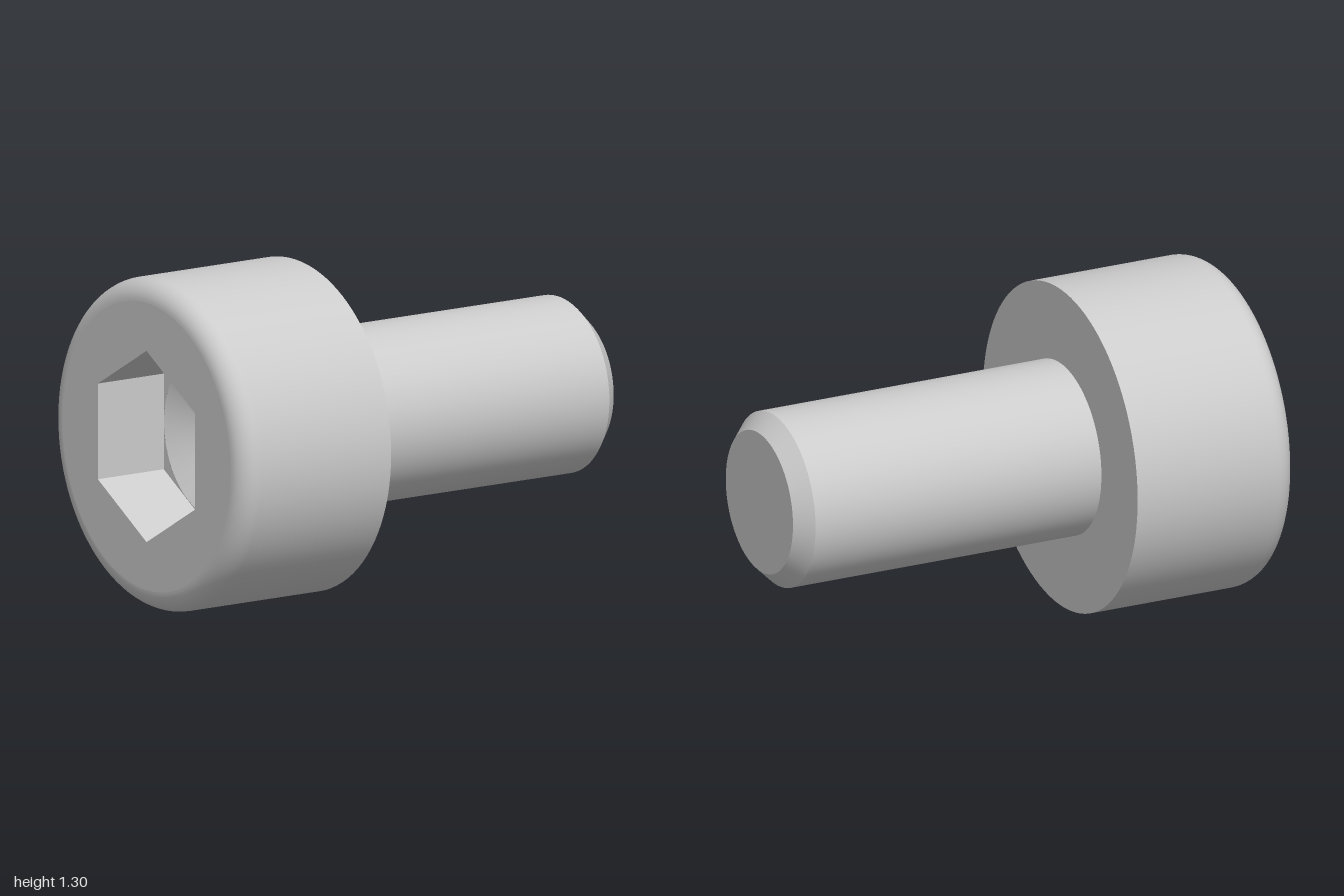
import * as THREE from 'three';

const HEAD_R = 0.652, SHANK_R = 0.347, TIP_R = 0.283, FILLET = 0.085;
const HEAD_Y = -0.305, CHAMFER_Y = 0.935;
const HEX_R = 0.378, SOCKET_Y = -0.69, DRILL_R = HEX_R * Math.cos(Math.PI / 6);
const SEGMENTS = 96;

export function createModel() {
  const model = new THREE.Group();
  model.name = 'socketHeadScrew';
  const smooth = new THREE.MeshStandardMaterial({ color: 0xcccccc });
  const flat = new THREE.MeshStandardMaterial({ color: 0xcccccc, flatShading: true });

  const add = (name, geometry, material = smooth) => {
    const mesh = new THREE.Mesh(geometry, material);
    mesh.name = name;
    model.add(mesh);
  };
  // Each smooth run is its own lathe, so the edges between them stay sharp
  const turn = (name, points) =>
    add(name, new THREE.LatheGeometry(points.map(([r, y]) => new THREE.Vector2(r, y)), SEGMENTS));

  const hexPoints = [];
  for (let i = 0; i < 6; i++) {
    const a = (i * Math.PI) / 3;
    hexPoints.push(new THREE.Vector2(HEX_R * Math.cos(a), HEX_R * Math.sin(a)));
  }
  // Flat face with a hole, turned to look out of the head
  const plate = (name, shape, hole, y) => {
    shape.holes.push(hole);
    add(name, new THREE.ShapeGeometry(shape, SEGMENTS).rotateX(Math.PI / 2).translate(0, y, 0));
  };
  const disc = (Type, r) => new Type().absarc(0, 0, r, 0, Math.PI * 2, false);

  // Head: rounded rim running into the straight side
  const side = [];
  for (let i = 0; i <= 12; i++) {
    const a = (i / 12) * (Math.PI / 2);
    side.push([HEAD_R - FILLET + FILLET * Math.sin(a), -1 + FILLET - FILLET * Math.cos(a)]);
  }
  side.push([HEAD_R, HEAD_Y]);
  turn('headSide', side);
  plate('headFace', disc(THREE.Shape, HEAD_R - FILLET), new THREE.Path(hexPoints), -1);
  turn('headUnderside', [[HEAD_R, HEAD_Y], [SHANK_R, HEAD_Y]]);

  // Hexagonal socket with a drilled, conical bottom
  add('socketWalls', new THREE.LatheGeometry(
    [new THREE.Vector2(HEX_R, SOCKET_Y), new THREE.Vector2(HEX_R, -1)], 6, Math.PI / 2), flat);
  plate('socketFloor', new THREE.Shape(hexPoints), disc(THREE.Path, DRILL_R - 0.002), SOCKET_Y);
  turn('socketDrillPoint', [[0, SOCKET_Y + DRILL_R * Math.tan(Math.PI / 6)], [DRILL_R - 0.002, SOCKET_Y]]);

  // Shank with a chamfered end
  turn('shank', [[SHANK_R, HEAD_Y], [SHANK_R, CHAMFER_Y]]);
  turn('shankChamfer', [[SHANK_R, CHAMFER_Y], [TIP_R, 1]]);
  turn('shankEnd', [[TIP_R, 1], [0, 1]]);

  // Lay the screw on its side, head towards -x
  model.rotation.z = -Math.PI / 2;
  model.position.y = HEAD_R;
  const root = new THREE.Group();
  root.name = 'screw';
  root.add(model);
  return root;
}
